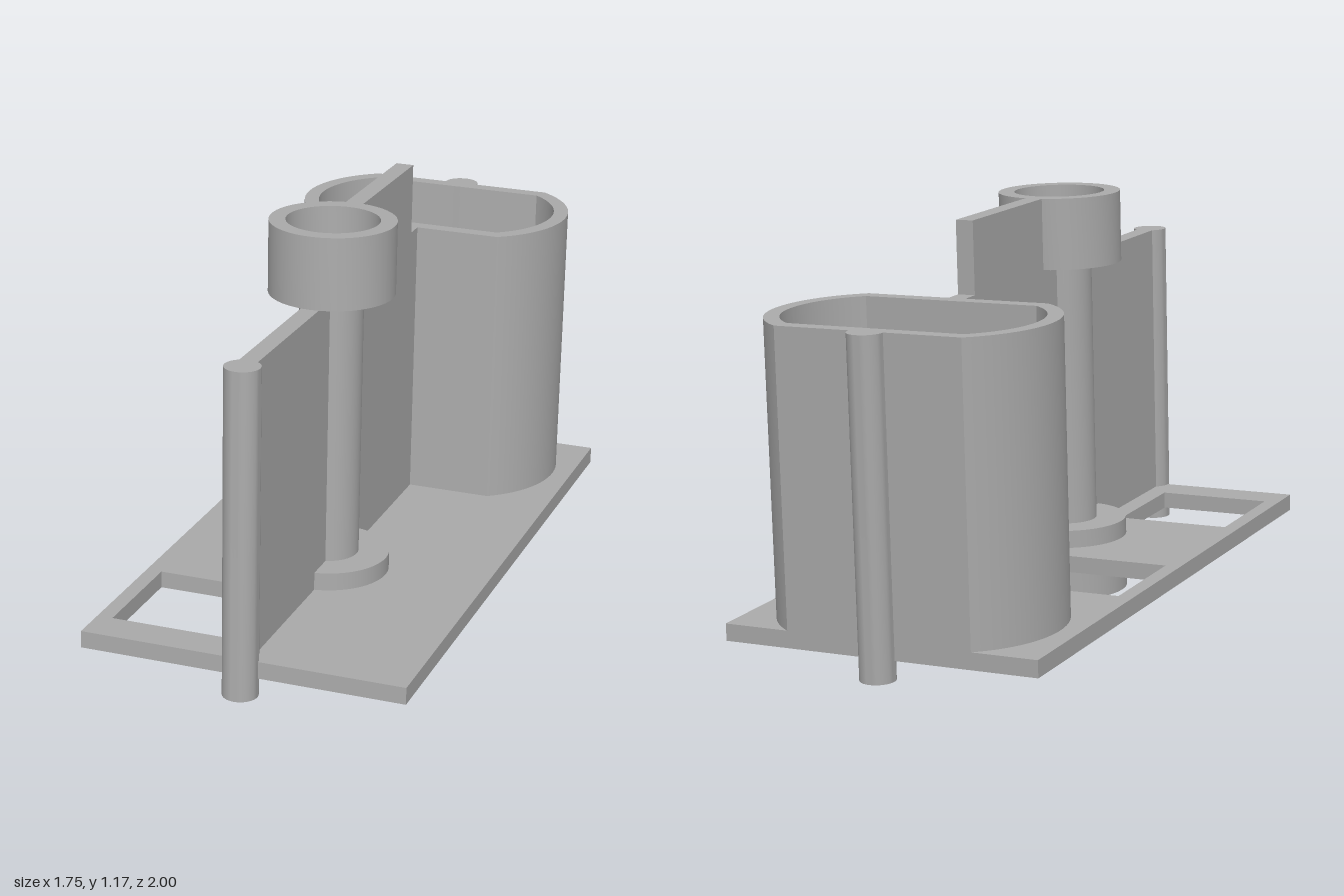
import * as THREE from 'three';
import { toCreasedNormals } from 'three/addons/utils/BufferGeometryUtils.js';

const grey = new THREE.MeshStandardMaterial({ color: 0xaaaaaa });
grey.name = 'grey plastic';

const TOWER_Z = 0.253, HOUSING_Z = -0.65;

// Local frame: x across the plate, z along it, y = 0 on the plate's upper face.
export function createModel() {
  const model = new THREE.Group();
  model.name = 'motorMount';

  function add(name, geometry) {
    const mesh = new THREE.Mesh(toCreasedNormals(geometry, 0.5), grey);
    mesh.name = name;
    model.add(mesh);
    return mesh;
  }

  // Extrude a plan outline (x, -z) upward from y0 to y1
  function slab(shape, y0, y1) {
    const g = new THREE.ExtrudeGeometry(shape, { depth: y1 - y0, bevelEnabled: false, curveSegments: 24 });
    return g.rotateX(-Math.PI / 2).translate(0, y0, 0);
  }

  function polygon(points) {
    return new THREE.Shape(points.map(([x, y]) => new THREE.Vector2(x, y)));
  }

  const rect = (x0, x1, z0, z1) => polygon([[x0, -z1], [x1, -z1], [x1, -z0], [x0, -z0]]);

  function circle(x, z, r) {
    return new THREE.Path().absarc(x, -z, r, 0, Math.PI * 2, true);
  }

  // Base plate with two windows, motor holes and the tower opening
  const plate = rect(-0.45, 0.45, -0.9, 0.9);
  plate.holes.push(
    rect(-0.407, -0.08, -0.305, 0.02),
    rect(-0.407, -0.08, 0.468, 0.795),
    circle(0, HOUSING_Z, 0.151),
    circle(-0.25, HOUSING_Z, 0.026),
    circle(0.25, HOUSING_Z, 0.026),
    circle(0, TOWER_Z, 0.15)
  );
  add('basePlate', slab(plate, -0.047, 0));

  // Motor housing: flat front and back, curved ends, open top
  function housingOutline(inset) {
    const cx = 0.09, r = 0.305 - inset, d = 0.25 - inset;
    const a = Math.asin(d / r);
    const s = new THREE.Shape();
    s.absarc(cx, -HOUSING_Z, r, -a, a, false);
    s.absarc(-cx, -HOUSING_Z, r, Math.PI - a, Math.PI + a, false);
    s.closePath();
    return s;
  }
  const housing = housingOutline(0);
  housing.holes.push(housingOutline(0.042));
  add('motorHousing', slab(housing, 0, 0.8));

  // Hollow shaft tower with a bearing seat at each end
  const profile = [
    [0.127, -0.154], [0.172, -0.154], [0.172, 0.05], [0.087, 0.05],
    [0.087, 0.8], [0.172, 0.8], [0.172, 1.0], [0.127, 1.0],
    [0.127, 0.85], [0.077, 0.85], [0.077, 0], [0.127, 0], [0.127, -0.154]
  ].map(([r, y]) => new THREE.Vector2(r, y));
  add('shaftTower', new THREE.LatheGeometry(profile, 48)).position.z = TOWER_Z;

  // Upright web on the centre line, drawn as (z, y) outlines
  function web(name, points) {
    const g = new THREE.ExtrudeGeometry(polygon(points), { depth: 0.05, bevelEnabled: false });
    add(name, g.translate(0, 0, -0.025).rotateY(-Math.PI / 2));
  }
  web('frontWeb', [[TOWER_Z + 0.081, 0], [0.9, 0], [0.9, 0.8], [TOWER_Z + 0.081, 0.8]]);
  web('rearWeb', [
    [-0.405, 0], [TOWER_Z - 0.081, 0], [TOWER_Z - 0.081, 0.81], [TOWER_Z - 0.15, 0.81],
    [TOWER_Z - 0.15, 1.0], [-0.345, 1.0], [-0.345, 0.8], [-0.405, 0.8]
  ]);

  // Locating rods at both ends of the plate
  for (const [name, z] of [['frontRod', 0.9], ['rearRod', -0.905]]) {
    add(name, new THREE.CylinderGeometry(0.048, 0.048, 0.9, 32)).position.set(0, 0.35, z);
  }

  // The whole part stands turned and slightly tilted
  model.rotation.set(-0.0475, -0.594, -0.005, 'YXZ');
  model.position.y = 0.15;
  const root = new THREE.Group();
  root.name = 'mount';
  root.add(model);
  return root;
}
